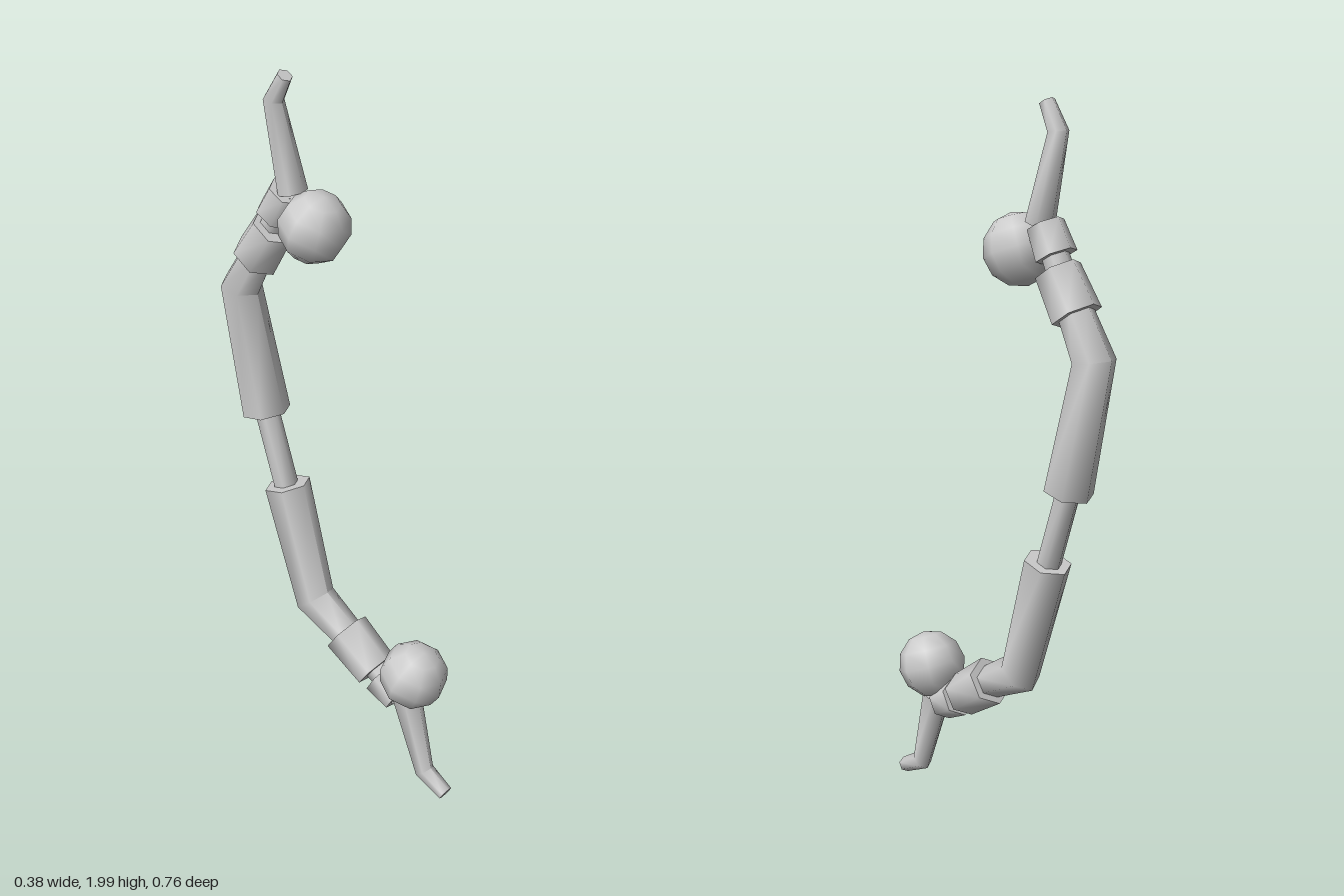
import * as THREE from 'three';
import { toCreasedNormals } from 'three/addons/utils/BufferGeometryUtils.js';

const SIDES = 6;
const TURN = 0.388; // the staff lies in one upright plane, turned about y
const material = new THREE.MeshStandardMaterial({ color: 0xcccccc });

// Capped six-sided tube along points [z, y, radius], with mitred bends
function limb(points) {
  const p = points.map(([z, y]) => new THREE.Vector2(z / Math.cos(TURN), y));
  const last = p.length - 1;
  const pos = [], index = [];
  p.forEach((c, i) => {
    const before = p[i].clone().sub(p[Math.max(i - 1, 0)]).normalize();
    const after = p[Math.min(i + 1, last)].clone().sub(p[i]).normalize();
    const dir = before.clone().add(after).normalize();
    const mitre = 1 / dir.dot(i < last ? after : before);
    const r = points[i][2];
    for (let k = 0; k < SIDES; k++) {
      const a = (k / SIDES) * Math.PI * 2;
      const out = r * mitre * Math.cos(a);
      pos.push(r * Math.sin(a), c.y - dir.x * out, c.x + dir.y * out);
    }
  });
  for (let i = 0; i < last; i++) {
    for (let k = 0; k < SIDES; k++) {
      const a = i * SIDES + k, b = i * SIDES + (k + 1) % SIDES;
      index.push(a, b, b + SIDES, a, b + SIDES, a + SIDES);
    }
  }
  const top = last * SIDES;
  for (let k = 1; k < SIDES - 1; k++) {
    index.push(0, k + 1, k, top, top + k, top + k + 1);
  }
  const g = new THREE.BufferGeometry();
  g.setAttribute('position', new THREE.Float32BufferAttribute(pos, 3));
  g.setIndex(index);
  return toCreasedNormals(g, 1.2);
}

export function createModel() {
  const group = new THREE.Group();
  const staff = new THREE.Group();
  staff.name = 'staff';
  staff.rotation.y = TURN;
  group.add(staff);

  const add = (name, geometry) => {
    const mesh = new THREE.Mesh(geometry, material);
    mesh.name = name;
    staff.add(mesh);
    return mesh;
  };

  // Every limb runs upward: z, y, radius
  const limbs = {
    core: [[-0.17, 0.76, 0.034], [-0.26, 1.06, 0.034]],
    lowerGrip: [[0.03, 0.405, 0.046], [-0.085, 0.47, 0.056], [-0.18, 0.81, 0.065]],
    upperGrip: [[-0.248, 1.015, 0.067], [-0.325, 1.37, 0.056], [-0.255, 1.5, 0.047]],
    lowerCollar: [[0.13, 0.335, 0.062], [0.025, 0.41, 0.068]],
    upperCollar: [[-0.268, 1.475, 0.068], [-0.205, 1.58, 0.062]],
    lowerNeck: [[0.22, 0.29, 0.035], [0.1, 0.36, 0.038]],
    upperNeck: [[-0.23, 1.54, 0.038], [-0.165, 1.69, 0.035]],
    lowerRing: [[0.21, 0.285, 0.05], [0.148, 0.322, 0.056]],
    upperRing: [[-0.2, 1.615, 0.056], [-0.163, 1.69, 0.05]],
    lowerHorn: [[0.372, 0.03, 0.022], [0.3, 0.07, 0.027], [0.235, 0.3, 0.042]],
    upperHorn: [[-0.145, 1.69, 0.04], [-0.202, 1.92, 0.027], [-0.165, 1.99, 0.021]],
  };
  for (const [name, points] of Object.entries(limbs)) add(name, limb(points));

  // Orbs held in front of the two necks
  for (const [name, z, y] of [['lowerOrb', 0.255, 0.387], ['upperOrb', -0.077, 1.618]]) {
    const orb = add(name, new THREE.SphereGeometry(0.096, 8, 6));
    orb.position.set(0, y, z / Math.cos(TURN));
    orb.rotation.x = 0.35;
  }
  return group;
}
